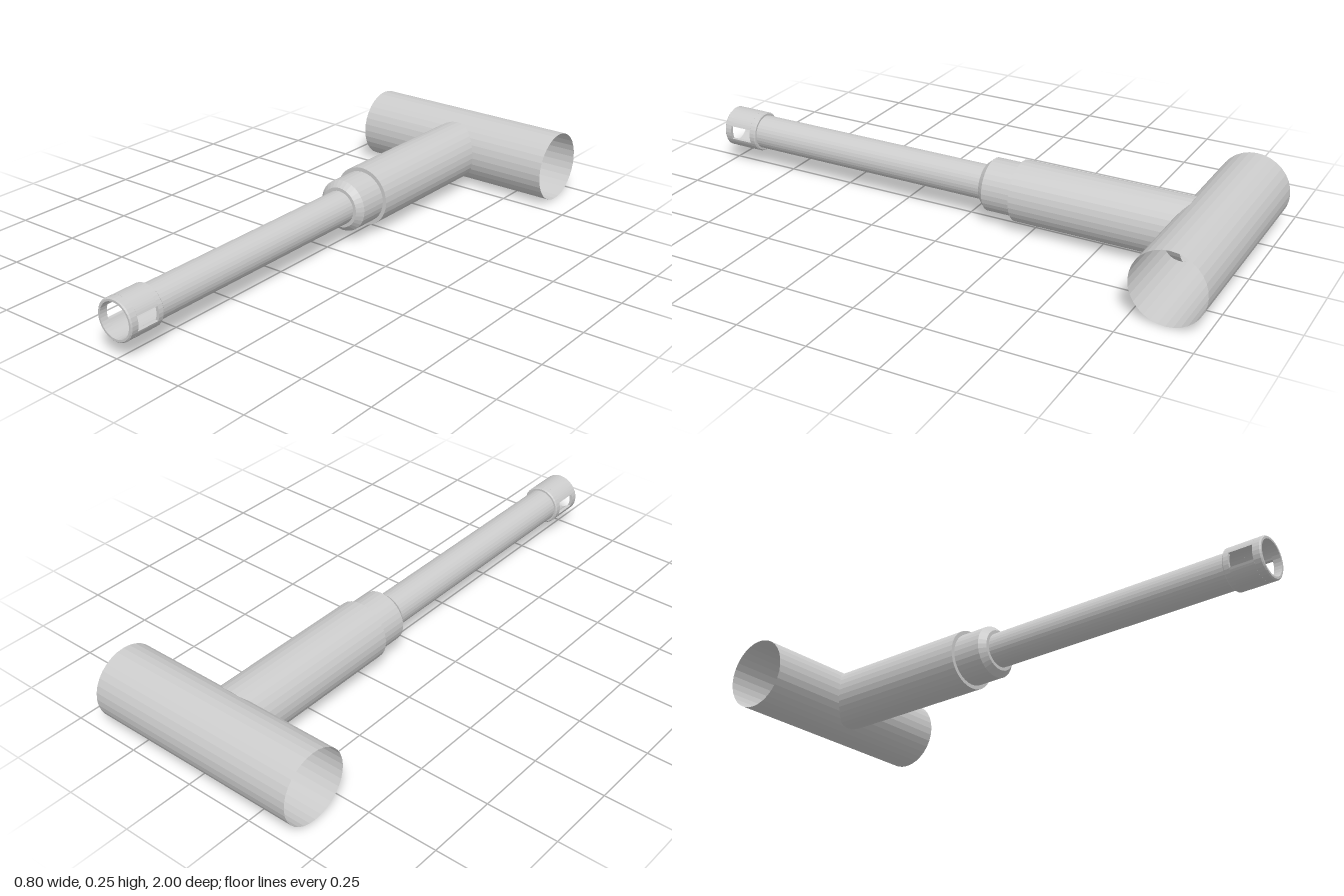
import * as THREE from 'three';

const SIDES = 32;
const AXIS_Y = 0.128;

export function createModel() {
  const model = new THREE.Group();
  const material = new THREE.MeshStandardMaterial({
    color: 0xcccccc, flatShading: true, side: THREE.DoubleSide,
  });

  function add(name, geometry, parent = model) {
    const mesh = new THREE.Mesh(geometry, material);
    mesh.name = name;
    parent.add(mesh);
    return mesh;
  }

  // Turned part along z, from [radius, z] pairs
  function turned(profile) {
    const points = profile.map(([r, z]) => new THREE.Vector2(r, z));
    return new THREE.LatheGeometry(points, SIDES).rotateX(Math.PI / 2);
  }

  // Open cross tube at the back
  const cross = new THREE.CylinderGeometry(0.127, 0.127, 0.797, SIDES, 1, true).rotateZ(Math.PI / 2);
  add('crossTube', cross).position.set(0, AXIS_Y, -0.873);

  const stem = new THREE.Group();
  stem.name = 'stem';
  stem.position.y = AXIS_Y;
  model.add(stem);

  // Wide sleeve running into the cross tube, with a stepped front face
  add('sleeve', turned([[0.107, -0.8], [0.107, -0.195], [0.093, -0.195]]), stem);

  // Collar with a chamfered front
  add('collar', turned([[0.093, -0.195], [0.093, -0.088], [0.073, -0.066], [0.061, -0.066]]), stem);

  // Hollow slim pipe
  add('pipe', turned([[0.061, -0.195], [0.061, 0.87]]), stem);

  // End cap: two chamfered rings joined by an upper and a lower wall
  const outer = 0.072, inner = 0.061, c = 0.004;
  const slotStart = 0.888, slotEnd = 0.972, slotHalf = 0.025;
  add('capRearRing', turned([
    [inner, 0.865], [outer - c, 0.865], [outer, 0.865 + c],
    [outer, slotStart], [inner, slotStart], [inner, 0.865],
  ]), stem);
  add('capFrontRing', turned([
    [inner, slotEnd], [outer, slotEnd], [outer, 1 - c],
    [outer - c, 1], [inner, 1], [inner, slotEnd],
  ]), stem);

  // Curved walls leave a rectangular slot on each side
  const a = Math.asin(slotHalf / outer), b = Math.asin(slotHalf / inner);
  const wall = new THREE.Shape();
  wall.absarc(0, 0, outer, a, Math.PI - a, false);
  wall.absarc(0, 0, inner, Math.PI - b, b, true);
  wall.closePath();
  const wallGeometry = new THREE.ExtrudeGeometry(wall, {
    depth: slotEnd - slotStart, bevelEnabled: false, curveSegments: 12,
  }).translate(0, 0, slotStart);
  add('capUpperWall', wallGeometry, stem);
  add('capLowerWall', wallGeometry, stem).rotation.z = Math.PI;

  return model;
}
